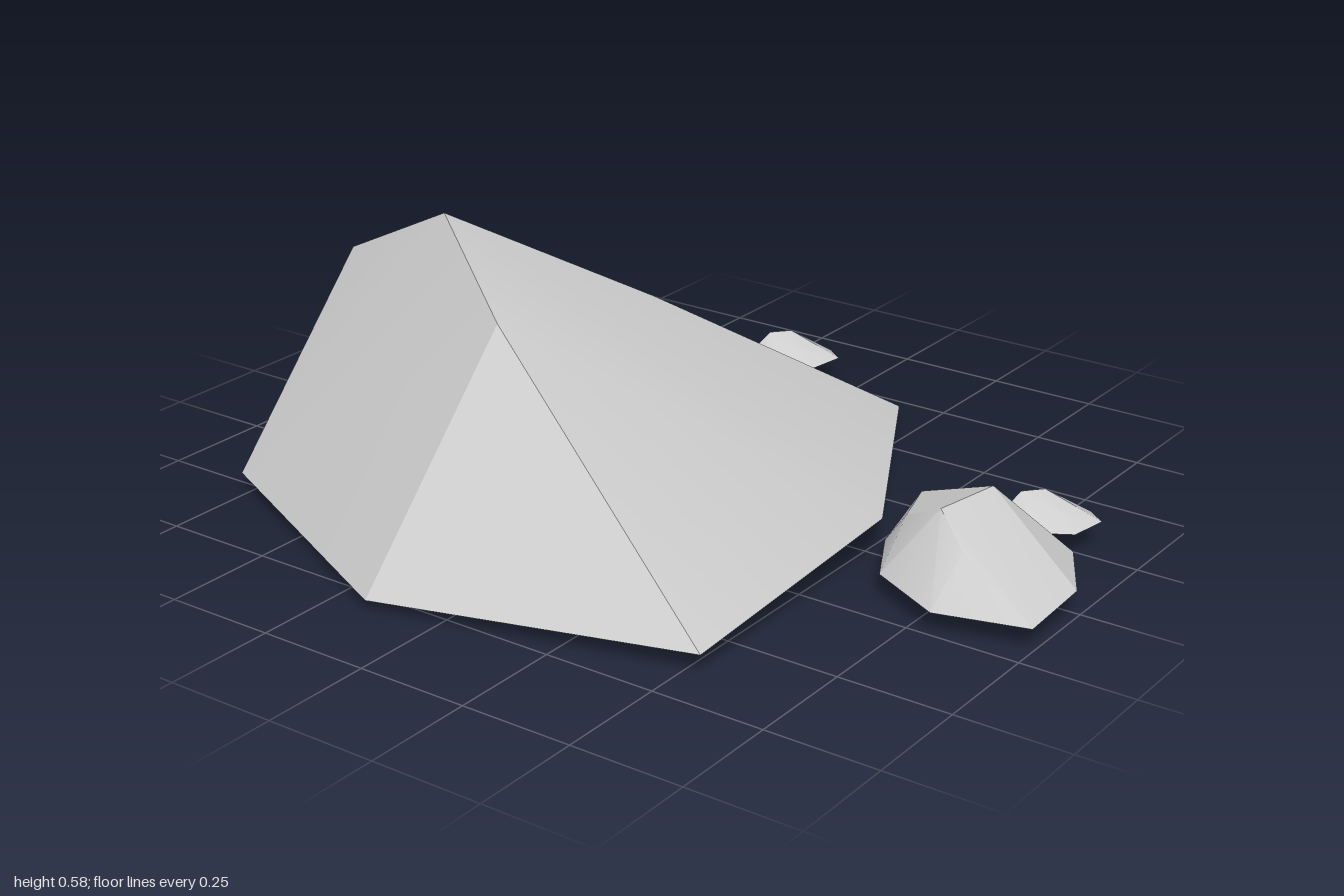
import * as THREE from 'three';
import { ConvexGeometry } from 'three/addons/geometries/ConvexGeometry.js';
import { toCreasedNormals } from 'three/addons/utils/BufferGeometryUtils.js';

const stone = new THREE.MeshStandardMaterial({ color: 0xcccccc });

// A faceted rock: convex skin over rim, crown and underside corners.
function makeRock(name, { rim, crown, underside }) {
  const points = [...rim, ...crown, ...underside].map((p) => new THREE.Vector3(...p));
  const rock = new THREE.Mesh(toCreasedNormals(new ConvexGeometry(points), 0.4), stone);
  rock.name = name;
  return rock;
}

const boulder = {
  rim: [
    [-0.03, 0.09, -1.0], [0.44, 0.04, -0.91], [0.63, 0.05, -0.57], [0.63, 0.045, 0.2],
    [0, 0.085, 0.54], [-0.65, 0.045, 0.54], [-0.81, 0.02, -0.16], [-0.53, 0.04, -0.77],
  ],
  crown: [
    [-0.38, 0.475, -0.16], [-0.13, 0.58, -0.51], [-0.09, 0.43, -0.82],
    [0.22, 0.33, -0.77], [0.2, 0.36, -0.19],
  ],
  underside: [[0.35, 0, -0.2], [-0.34, 0.02, -0.62]],
};

const smallRock = {
  rim: [
    [-0.03, 0.055, 0.565], [0.12, 0.05, 0.565], [0.155, 0.05, 0.69], [0.155, 0.05, 0.9],
    [-0.02, 0.06, 1.0], [-0.2, 0.05, 1.0], [-0.245, 0.045, 0.8], [-0.165, 0.05, 0.635],
  ],
  crown: [
    [-0.125, 0.13, 0.8], [-0.06, 0.175, 0.71], [-0.04, 0.13, 0.62],
    [0.07, 0.135, 0.59], [0.09, 0.18, 0.745],
  ],
  underside: [[0.07, 0.035, 0.78], [-0.11, 0.04, 0.68]],
};

const pebble = {
  rim: [
    [0.21, 0.06, 0.697], [0.255, 0.06, 0.707], [0.335, 0.06, 0.755], [0.335, 0.06, 0.845],
    [0.3, 0.06, 0.89], [0.22, 0.055, 0.87], [0.178, 0.055, 0.8], [0.183, 0.06, 0.75],
  ],
  crown: [
    [0.21, 0.09, 0.72], [0.24, 0.11, 0.73], [0.28, 0.11, 0.765],
    [0.31, 0.085, 0.765], [0.245, 0.085, 0.82],
  ],
  underside: [[0.25, 0.05, 0.79]],
};

export function createModel() {
  const group = new THREE.Group();
  group.name = 'rocks';
  group.add(makeRock('boulder', boulder), makeRock('smallRock', smallRock));

  // Two matching pebbles
  const frontPebble = makeRock('frontPebble', pebble);
  const sidePebble = frontPebble.clone();
  sidePebble.name = 'sidePebble';
  sidePebble.position.set(0.475, 0, -0.948);
  group.add(frontPebble, sidePebble);
  return group;
}
